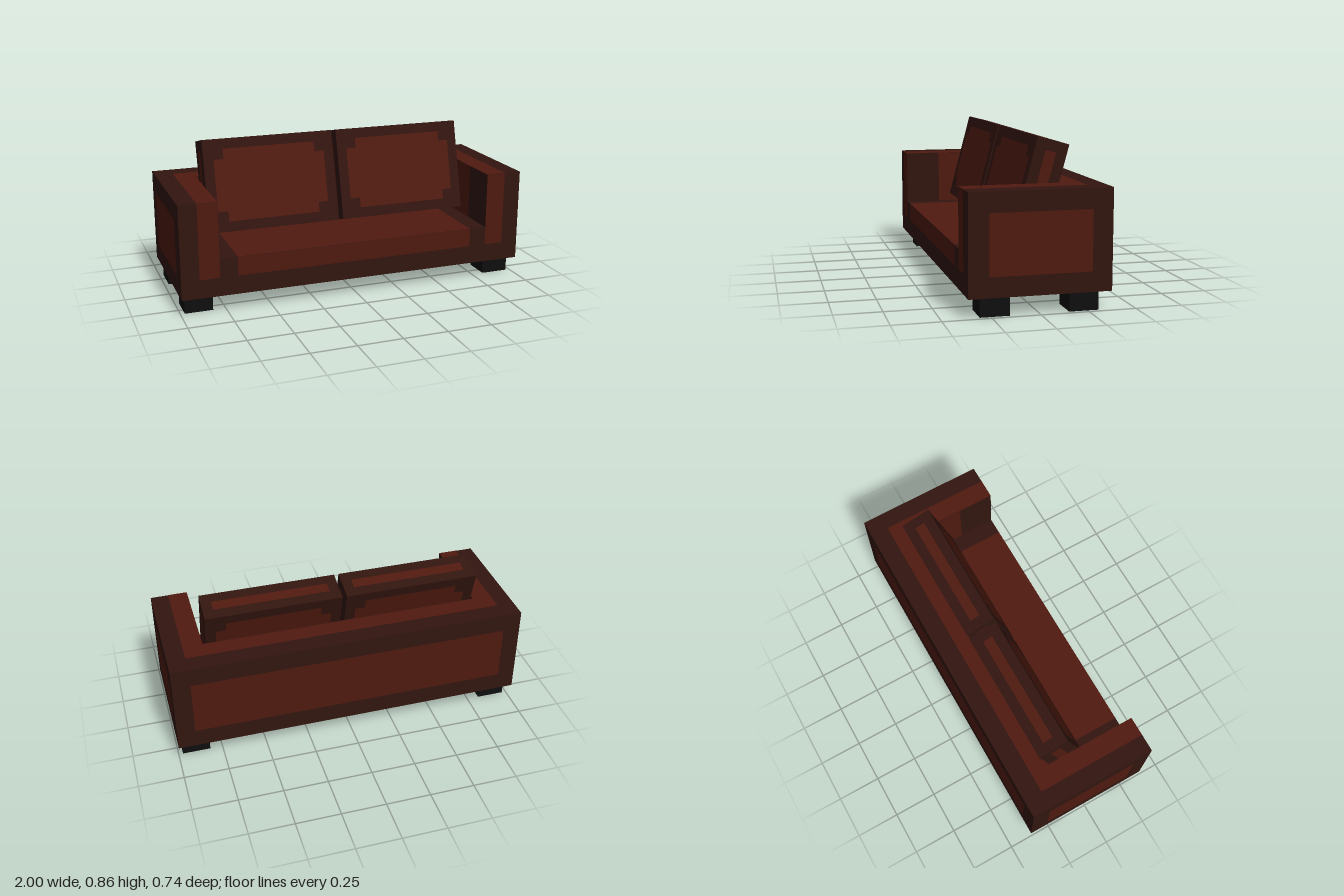
import * as THREE from 'three';

const EPS = 0.0015; // panels lie just proud of the upholstery
const HALF = Math.PI / 2;

export function createModel() {
  const sofa = new THREE.Group();
  sofa.name = 'sofa';
  const mat = (color) => new THREE.MeshStandardMaterial({ color });
  const trim = mat(0x32150f);
  const leather = mat(0x501a10);
  const black = mat(0x0e0e0e);

  // Box given by its min and max corners
  function box(parent, name, material, [x0, y0, z0], [x1, y1, z1]) {
    const mesh = new THREE.Mesh(new THREE.BoxGeometry(x1 - x0, y1 - y0, z1 - z0), material);
    mesh.position.set((x0 + x1) / 2, (y0 + y1) / 2, (z0 + z1) / 2);
    mesh.name = name;
    parent.add(mesh);
    return mesh;
  }

  // Flat leather panel from an outline in its own xy plane, facing its own +z
  function panel(parent, name, points, pos, rx = 0, ry = 0) {
    const shape = new THREE.Shape(points.map(([x, y]) => new THREE.Vector2(x, y)));
    const mesh = new THREE.Mesh(new THREE.ShapeGeometry(shape), leather);
    mesh.position.set(...pos);
    mesh.rotation.set(rx, ry, 0);
    mesh.name = name;
    parent.add(mesh);
  }
  const rect = (x0, y0, x1, y1) => [[x0, y0], [x1, y0], [x1, y1], [x0, y1]];

  // Frame: back and seat between the two arms
  box(sofa, 'back', trim, [-0.79, 0.1, -0.37], [0.79, 0.625, -0.16]);
  box(sofa, 'seat', trim, [-0.79, 0.1, -0.16], [0.79, 0.31, 0.37]);

  for (const s of [-1, 1]) {
    const side = s > 0 ? 'left' : 'right';
    const [a, b] = s > 0 ? [0.79, 1] : [-1, -0.79];
    box(sofa, side + 'Arm', trim, [a, 0.1, -0.37], [b, 0.625, 0.37]);
    panel(sofa, side + 'ArmOuterPanel', rect(-0.265, 0.205, 0.265, 0.52), [s * (1 + EPS), 0, 0], 0, s * HALF);
    panel(sofa, side + 'ArmInnerPanel', rect(s * -0.105 - 0.265, 0.31, s * -0.105 + 0.265, 0.625),
      [s * (0.79 - EPS), 0, 0], 0, -s * HALF);
    panel(sofa, side + 'ArmFrontPanel', rect(s * 0.845 - 0.055, 0.205, s * 0.845 + 0.055, 0.625), [0, 0, 0.37 + EPS]);

    // Legs
    for (const z of [-0.23, 0.23]) {
      const leg = z > 0 ? 'FrontLeg' : 'BackLeg';
      box(sofa, side + leg, black, [s * 0.898 - 0.078, 0, z - 0.077], [s * 0.898 + 0.078, 0.1, z + 0.077]);
    }
  }

  // Leather panels on the frame
  panel(sofa, 'topPanel', [[-0.9, -0.37], [-0.79, -0.37], [-0.79, 0.16], [0.79, 0.16],
    [0.79, -0.37], [0.9, -0.37], [0.9, 0.265], [-0.9, 0.265]], [0, 0.625 + EPS, 0], -HALF);
  panel(sofa, 'backPanel', rect(-0.9, 0.205, 0.9, 0.52), [0, 0, -0.37 - EPS], 0, Math.PI);
  panel(sofa, 'backrestPanel', rect(-0.79, 0.31, 0.79, 0.625), [0, 0, -0.16 + EPS]);
  panel(sofa, 'seatPanel', rect(-0.69, -0.37, 0.69, 0.16), [0, 0.31 + EPS, 0], -HALF);
  panel(sofa, 'seatFrontPanel', rect(-0.69, 0.205, 0.69, 0.31), [0, 0, 0.37 + EPS]);
  panel(sofa, 'undersidePanel', rect(-0.79, -0.37, 0.79, 0.37), [0, 0.1 - EPS, 0], HALF);

  // Loose back cushions, leaning backwards
  const W = 0.38, H = 0.26, D = 0.0865; // half sizes
  const inset = 0.057, notch = 0.057, strip = 0.029;
  const w = W - inset, h = H - inset;
  const notched = [[-w + notch, -h], [w - notch, -h], [w - notch, -h + notch], [w, -h + notch],
    [w, h - notch], [w - notch, h - notch], [w - notch, h], [-w + notch, h],
    [-w + notch, h - notch], [-w, h - notch], [-w, -h + notch], [-w + notch, -h + notch]];
  for (const s of [-1, 1]) {
    const cushion = new THREE.Group();
    cushion.name = s > 0 ? 'leftCushion' : 'rightCushion';
    cushion.position.set(s * 0.393, 0.589, -0.061);
    cushion.rotation.x = -Math.PI / 12;
    box(cushion, 'cushionBody', trim, [-W, -H, -D], [W, H, D]);
    panel(cushion, 'cushionFrontPanel', notched, [0, 0, D + EPS]);
    panel(cushion, 'cushionBackPanel', notched, [0, 0, -D - EPS], 0, Math.PI);
    for (const e of [-1, 1]) {
      panel(cushion, 'cushionSidePanel', rect(-strip, -h, strip, h), [e * (W + EPS), 0, 0], 0, e * HALF);
      panel(cushion, 'cushionEdgePanel', rect(-w, -strip, w, strip), [0, e * (H + EPS), 0], -e * HALF);
    }
    sofa.add(cushion);
  }
  return sofa;
}
